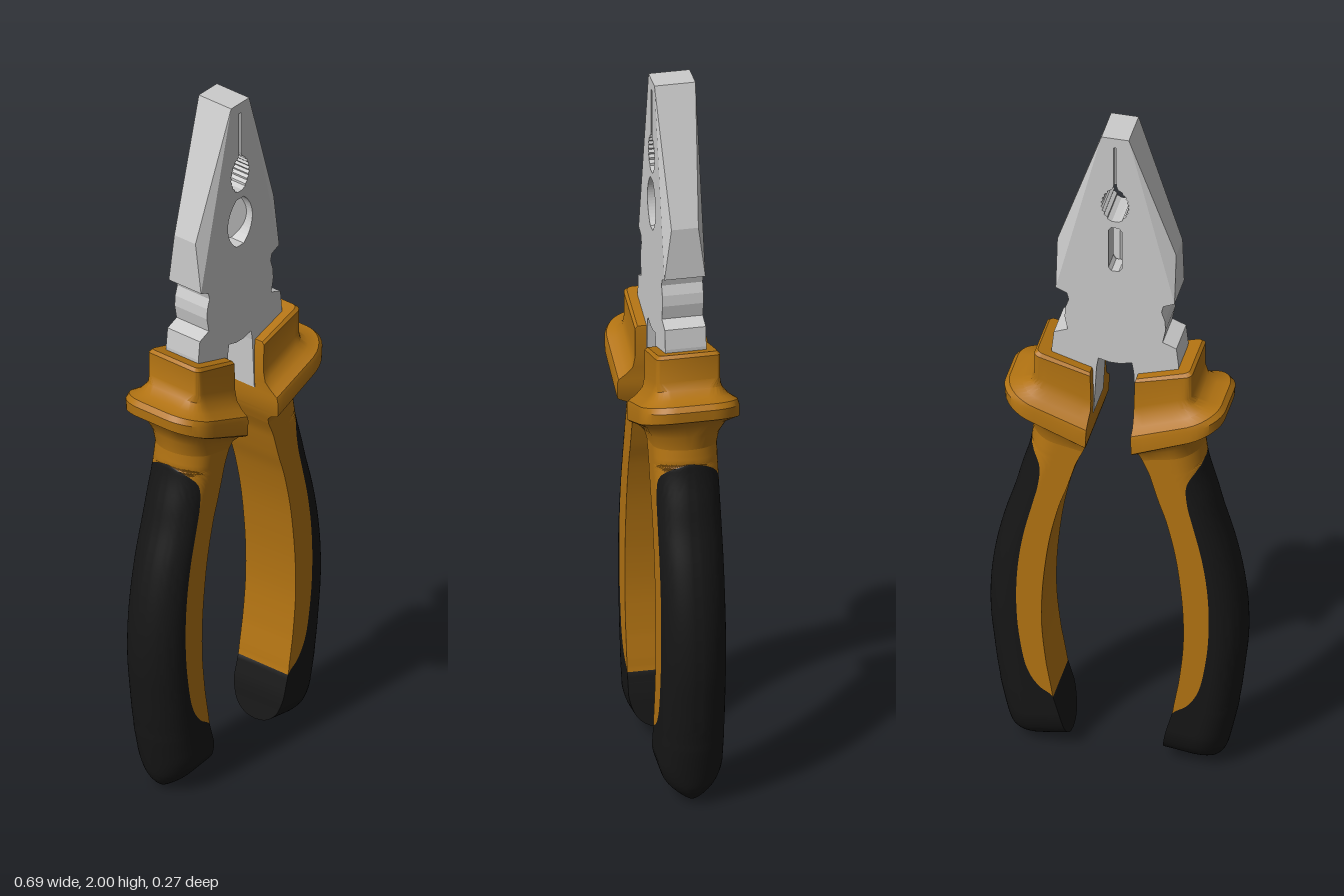
import * as THREE from 'three';
import { toCreasedNormals } from 'three/addons/utils/BufferGeometryUtils.js';
import { ConvexGeometry } from 'three/addons/geometries/ConvexGeometry.js';

const steel = new THREE.MeshStandardMaterial({ color: 0xcccccc });
const steelThin = new THREE.MeshStandardMaterial({ color: 0xcccccc, side: THREE.DoubleSide });
const orange = new THREE.MeshStandardMaterial({ color: 0xb27312 });
const black = new THREE.MeshStandardMaterial({ color: 0x161616 });

// Grip rows, top to bottom: inner x, y, outer x, y, half depth, start of the black pad (0 inner .. 1 outer)
const GRIP = [
  [0.08, 0.99, 0.23, 1.02, 0.085, 1], [0.098, 0.95, 0.234, 0.98, 0.085, 1],
  [0.11, 0.91, 0.243, 0.935, 0.085, 0.67], [0.125, 0.86, 0.262, 0.87, 0.085, 0.55],
  [0.145, 0.8, 0.28, 0.8, 0.085, 0.52], [0.168, 0.7, 0.31, 0.7, 0.085, 0.5],
  [0.182, 0.6, 0.332, 0.6, 0.085, 0.48], [0.19, 0.5, 0.344, 0.5, 0.085, 0.45],
  [0.19, 0.4, 0.345, 0.4, 0.085, 0.42], [0.18, 0.3, 0.335, 0.3, 0.085, 0.39],
  [0.172, 0.25, 0.328, 0.24, 0.085, 0.33], [0.165, 0.21, 0.322, 0.2, 0.085, 0.2],
  [0.16, 0.18, 0.318, 0.17, 0.085, 0], [0.143, 0.12, 0.303, 0.1, 0.085, 0],
  [0.134, 0.075, 0.292, 0.055, 0.073, 0], [0.129, 0.05, 0.28, 0.03, 0.055, 0],
  [0.126, 0.035, 0.26, 0.01, 0.03, 0], [0.125, 0.03, 0.235, 0, 0, 0],
];
// Guard rows: inner x, y, outer x, y, half depth, corner size across (fraction), corner size in depth
const GUARD = [
  [0.062, 1.247, 0.205, 1.291, 0.079, 0.1, 0.015], [0.06, 1.24, 0.213, 1.283, 0.086, 0.1, 0.015],
  [0.058, 1.16, 0.213, 1.215, 0.086, 0.1, 0.015], [0.058, 1.13, 0.225, 1.195, 0.092, 0.2, 0.04],
  [0.06, 1.11, 0.25, 1.18, 0.11, 0.3, 0.065], [0.06, 1.095, 0.285, 1.178, 0.13, 0.36, 0.085],
  [0.06, 1.085, 0.297, 1.165, 0.133, 0.36, 0.085], [0.062, 1.04, 0.295, 1.135, 0.133, 0.36, 0.085],
  [0.064, 1.035, 0.28, 1.125, 0.127, 0.38, 0.085], [0.066, 1.025, 0.25, 1.1, 0.105, 0.42, 0.085],
  [0.072, 1.01, 0.235, 1.06, 0.09, 0.46, 0.085], [0.08, 0.99, 0.23, 1.02, 0.085, 0.5, 0.085],
];

// One closed cross-section: flat inside, rounded outside, limited to the span b0..b1
function section([xi, yi, xo, yo, h], rx, rz, b0, b1, n = 14) {
  const front = [];
  const v0 = Math.sqrt(1 - b0), v1 = Math.sqrt(1 - b1);
  for (let k = 0; k <= n; k++) {
    const t = 1 - (v0 + (v1 - v0) * k / n) ** 2;
    const s = Math.max(0, (t - 1 + rx) / rx);
    const z = h - rz + rz * Math.sqrt(Math.max(0, 1 - s * s));
    front.push([xi + (xo - xi) * t, yi + (yo - yi) * t, z]);
  }
  return front.concat(front.map(([x, y, z]) => [x, y, -z]).reverse());
}

// Skin a stack of sections; side = -1 mirrors it
function loft(name, rings, side, material, crease) {
  const pos = [], idx = [], n = rings[0].length;
  const tri = (a, b, c) => (side > 0 ? idx.push(a, b, c) : idx.push(a, c, b));
  rings.flat().forEach(([x, y, z]) => pos.push(x * side, y, z));
  for (let i = 0; i < rings.length - 1; i++) {
    for (let j = 0; j < n; j++) {
      const a = i * n + j, b = i * n + (j + 1) % n;
      tri(a, a + n, b);
      tri(b, a + n, b + n);
    }
  }
  for (let j = 1; j < n - 1; j++) tri(0, j, j + 1);
  const g = new THREE.BufferGeometry();
  g.setAttribute('position', new THREE.Float32BufferAttribute(pos, 3));
  g.setIndex(idx);
  const mesh = new THREE.Mesh(toCreasedNormals(g.toNonIndexed(), crease), material);
  mesh.name = name;
  return mesh;
}

// Smoothly interpolated grip rows between two row numbers
function gripRows(from, to, steps = 4) {
  const spline = (a, b) => new THREE.SplineCurve(GRIP.map(r => new THREE.Vector2(r[a], r[b])));
  const inner = spline(0, 1), outer = spline(2, 3), rest = spline(4, 5), rows = [];
  for (let i = from * steps; i <= to * steps; i++) {
    const u = i / steps / (GRIP.length - 1);
    const p = inner.getPoint(u), q = outer.getPoint(u), r = rest.getPoint(u);
    rows.push([p.x, p.y, q.x, q.y, THREE.MathUtils.clamp(r.x, 0, 0.085), THREE.MathUtils.clamp(r.y, 0, 1)]);
  }
  return rows;
}

function handle(side) {
  const g = new THREE.Group();
  g.name = side > 0 ? 'leftHandle' : 'rightHandle';
  g.add(
    loft('guard', GUARD.map(r => section(r, r[5], r[6], 0, 1)), side, orange, 0.6),
    loft('gripCore', gripRows(0, 12).map(r => section(r, 0.5, r[4], 0, r[5])), side, orange, 0.7),
    loft('gripPad', gripRows(1, 17).map(r => section(r, 0.5, r[4], r[5], 1)), side, black, 0.7),
  );
  return g;
}

// Half width of a pointed oval, v from -1 to 1
const oval = (w, v) => w * Math.pow(Math.max(0, 1 - v * v), 0.75);

const mirrored = right => right.concat(right.map(([x, y]) => [-x, y]).reverse());
const path = pts => new THREE.Path(pts.map(([x, y]) => new THREE.Vector2(x, y)));

function ovalSide(w, y0, y1, n, tooth = 0) {
  return Array.from({ length: n - 1 }, (_, k) => {
    const v = -1 + 2 * (k + 1) / n;
    return [oval(w, v) + (k % 2 ? tooth : -tooth), (y0 + y1) / 2 + v * (y1 - y0) / 2];
  });
}

function head() {
  const g = new THREE.Group();
  g.name = 'head';
  const add = (name, geo, mat = steel) => {
    const m = new THREE.Mesh(geo, mat);
    m.name = name;
    g.add(m);
    return m;
  };
  const outline = mirrored([
    [0.037, 2], [0.16, 1.49], [0.13, 1.477], [0.125, 1.457], [0.134, 1.43], [0.136, 1.4], [0.128, 1.36],
    [0.165, 1.345], [0.171, 1.29], [0.165, 1.2], [0.075, 1.1], [0.058, 1.1], [0.05, 1.25], [0.045, 1.28], [0.015, 1.272],
  ]);
  // Toothed pipe opening running up into the jaw slit
  const pipeHole = mirrored([...ovalSide(0.036, 1.724, 1.84, 18, 0.0025), [0.004, 1.845], [0.004, 1.97]]);
  const cutterHole = mirrored(ovalSide(0.05, 1.556, 1.716, 20));
  const slot = mirrored([[0.01, 1.57], [0.018, 1.58], [0.018, 1.7], [0.01, 1.71]]);
  [['frontPlate', cutterHole, 0], ['backPlate', slot, -0.055]].forEach(([name, hole, z]) => {
    const shape = new THREE.Shape(path(outline).getPoints());
    shape.holes.push(path(pipeHole), path(hole));
    const geo = new THREE.ExtrudeGeometry(shape, { depth: 0.055, bevelEnabled: false });
    add(name, geo.translate(0, 0, z));
  });
  // Tapered jaw flanks
  for (const s of [1, -1]) {
    const pts = [];
    for (const f of [1, -1]) {
      pts.push(new THREE.Vector3(s * 0.037, 2, f * 0.055), new THREE.Vector3(s * 0.16, 1.49, f * 0.055),
        new THREE.Vector3(s * 0.16, 1.635, f * 0.036));
    }
    add('jawFlank', new ConvexGeometry(pts));
  }
  // Cutter blades sloping down to the centre line
  const blades = new THREE.PlaneGeometry(2, 2, 2, 20);
  const p = blades.attributes.position;
  for (let i = 0; i < p.count; i++) {
    const x = p.getX(i), v = p.getY(i);
    p.setXYZ(i, x * oval(0.05, v), 1.636 + v * 0.08, 0.002 + 0.033 * Math.abs(x) * oval(1, v));
  }
  add('cutterBlades', toCreasedNormals(blades.toNonIndexed(), 0.3), steelThin);
  // Meeting faces inside the jaw slit
  add('gripTeeth', new THREE.BoxGeometry(0.01, 0.13, 0.08)).position.set(0, 1.906, 0);
  return g;
}

export function createModel() {
  const model = new THREE.Group();
  model.name = 'pliers';
  model.add(head(), handle(1), handle(-1));
  return model;
}
